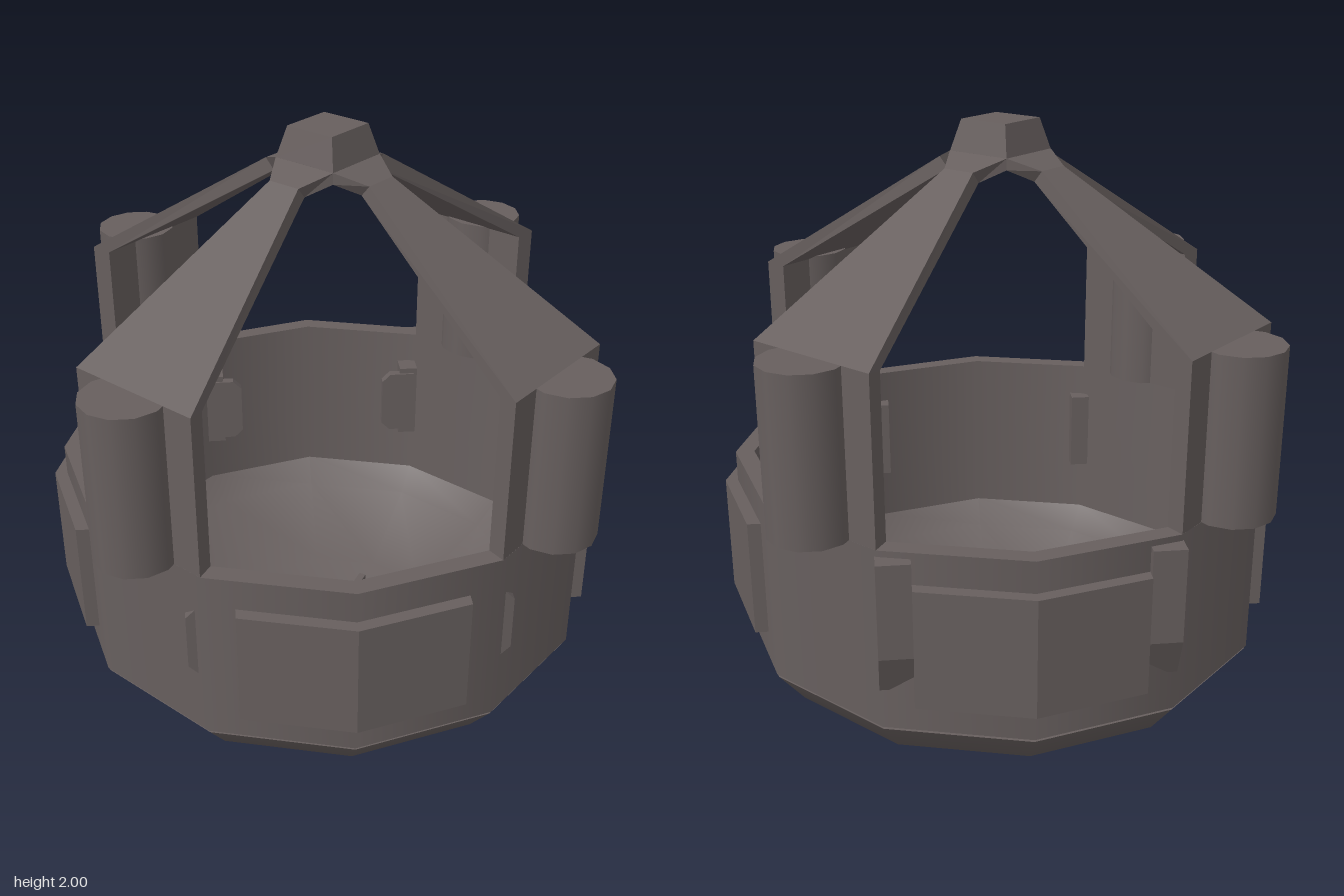
import * as THREE from 'three';

const metal = new THREE.MeshStandardMaterial({ color: 0x675f5e });
metal.name = 'warm grey metal';

const SIDES = 12;

function add(parent, name, geometry) {
  const mesh = new THREE.Mesh(geometry, metal);
  mesh.name = name;
  parent.add(mesh);
  return mesh;
}

// One smooth twelve-sided band; the profile runs so that outward is on its right
const band = (...points) =>
  new THREE.LatheGeometry(points.map(([r, y]) => new THREE.Vector2(r, y)), SIDES);

function plate(points, depth) {
  const shape = new THREE.Shape(points.map(([x, y]) => new THREE.Vector2(x, y)));
  return new THREE.ExtrudeGeometry(shape, { depth, bevelEnabled: false });
}

// Flat-faced bar through four-cornered sections: [outerR, outerHalf, outerY, innerR, innerHalf, innerY]
function armGeometry(sections) {
  const positions = [];
  const loops = sections.map(([ro, wo, yo, ri, wi, yi]) =>
    [[-wo, yo, ro], [wo, yo, ro], [wi, yi, ri], [-wi, yi, ri]]);
  for (let i = 0; i < loops.length - 1; i++) {
    for (let j = 0; j < 4; j++) {
      const k = (j + 1) % 4;
      const a = loops[i][j], b = loops[i][k], c = loops[i + 1][k], d = loops[i + 1][j];
      positions.push(...a, ...b, ...d, ...b, ...c, ...d);
    }
  }
  const geometry = new THREE.BufferGeometry();
  geometry.setAttribute('position', new THREE.Float32BufferAttribute(positions, 3));
  geometry.computeVertexNormals();
  return geometry;
}

export function createModel() {
  const model = new THREE.Group();
  model.name = 'basket';

  // Bowl underneath, with a hollow inside
  add(model, 'bowlOutside', band([0, 0.005], [0.45, 0.07], [0.78, 0.24], [0.865, 0.35]));
  add(model, 'bowlInside', band([0.79, 0.36], [0.71, 0.28], [0.42, 0.12], [0, 0.065]));
  add(model, 'bowlRim', band([0.865, 0.35], [0.79, 0.35]));

  // Ring wall
  add(model, 'wallOutside', band([0.87, 0.36], [0.87, 0.94]));
  add(model, 'wallTop', band([0.87, 0.94], [0.81, 0.94]));
  add(model, 'wallInside', band([0.81, 0.94], [0.79, 0.36]));
  add(model, 'wallBottom', band([0.79, 0.36], [0.87, 0.36]));

  // Folded panels on the four sides
  const panel = plate([[-0.34, 0.77], [0, 0.86], [0.34, 0.77], [0.34, 0.82], [0, 0.91], [-0.34, 0.82]], 0.38);
  panel.rotateX(-Math.PI / 2).translate(0, 0.46, 0);

  // Posts that lean in to the hub, each with a round tank on its outside
  const arm = armGeometry([
    [0.84, 0.225, 0.94, 0.782, 0.21, 0.94],
    [0.84, 0.225, 1.46, 0.782, 0.21, 1.45],
    [0.2, 0.055, 1.87, 0.17, 0.052, 1.835],
    [0.11, 0.11, 1.905, 0.11, 0.11, 1.87],
  ]);
  const tank = new THREE.CylinderGeometry(0.13, 0.13, 0.52, 12).translate(0, 1.2, 0.87);

  for (let i = 0; i < 4; i++) {
    add(model, 'sidePanel', panel).rotation.y = i * Math.PI / 2;
    const corner = new THREE.Group();
    corner.name = 'cornerPost';
    corner.rotation.y = Math.PI / 4 + i * Math.PI / 2;
    add(corner, 'post', arm);
    add(corner, 'tank', tank);
    model.add(corner);
  }

  // Square hub at the top
  const flat = (g) => { const f = g.toNonIndexed(); f.computeVertexNormals(); return f; };
  add(model, 'hubBase', flat(new THREE.CylinderGeometry(0.155, 0.155, 0.035, 4))).position.y = 1.8875;
  add(model, 'hubCap', flat(new THREE.CylinderGeometry(0.12, 0.155, 0.095, 4))).position.y = 1.9525;

  // Wedge-ended fins beside the back panel
  const fin = plate([[0.74, 0.49], [0.76, 0.49], [0.81, 0.62], [0.81, 0.92], [0.74, 0.92]], 0.1);
  fin.rotateY(Math.PI / 2);
  for (const x of [-0.44, 0.34]) add(model, 'backFin', fin).position.x = x;

  // Brackets inside the wall, each with a tapered clip
  const block = new THREE.BoxGeometry(0.065, 0.28, 0.07);
  const clip = plate([[-0.02, 0.57], [0.07, 0.57], [0.1, 0.6], [0.1, 0.78], [0.07, 0.81], [-0.02, 0.81]], 0.03);
  const mirroredClip = clip.clone().rotateY(Math.PI).translate(0, 0, 0.03);
  for (const side of [-1, 1]) {
    // [x, z, direction of the clip away from the middle]
    for (const [x, z, out] of [[0.37, -0.67, -1], [0.767, 0.015, -1], [0.385, 0.69, 1]]) {
      const bracket = new THREE.Group();
      bracket.name = 'bracket';
      bracket.position.set(side * x, 0, z);
      add(bracket, 'bracketBlock', block).position.y = 0.69;
      add(bracket, 'bracketClip', side * out > 0 ? clip : mirroredClip).position.z = 0.012;
      model.add(bracket);
    }
  }

  // Thin ribs on the bowl floor
  const rib = new THREE.BoxGeometry(0.64, 0.08, 0.025);
  for (let i = 0; i < 3; i++) {
    const mesh = add(model, 'floorRib', rib);
    mesh.position.y = 0.1;
    mesh.rotation.y = i * Math.PI / 3;
  }

  return model;
}
